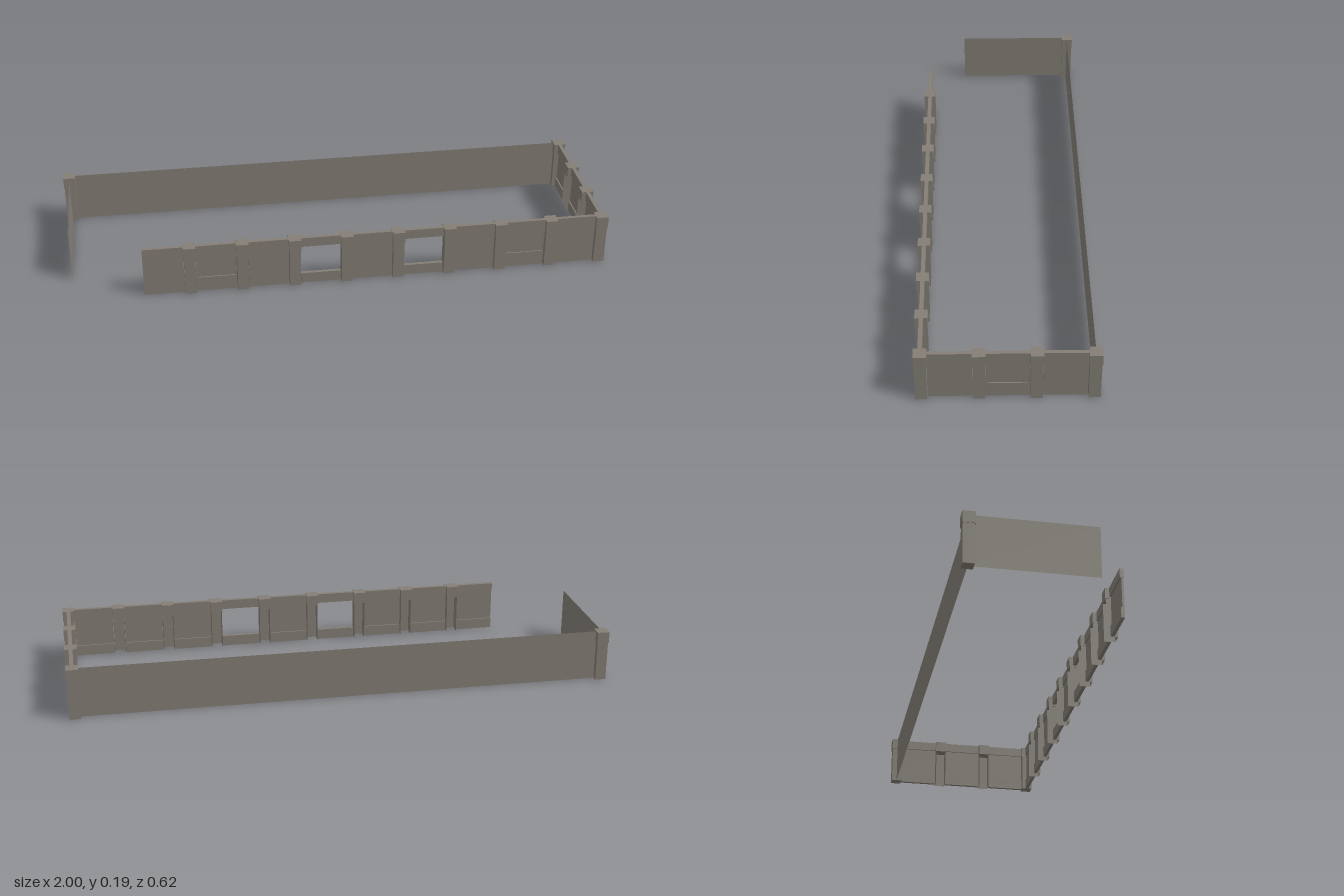
import * as THREE from 'three';

const stone = new THREE.MeshStandardMaterial({ color: 0x847e75, side: THREE.DoubleSide });
stone.name = 'stone grey';

const H = 0.191;          // wall height
const CAP = 0.0445;       // cap width
const SHAFT = 0.0405;     // shaft width
const CAP_Y = 0.148;      // underside of the caps
const X = 0.978, Z = 0.289; // corner post centres
const STEP = 0.191, SIDE_STEP = Z * 2 / 3;

function box(parent, name, w, h, d, x, y, z) {
  const mesh = new THREE.Mesh(new THREE.BoxGeometry(w, h, d), stone);
  mesh.name = name;
  mesh.position.set(x, y, z);
  parent.add(mesh);
}

function sheet(parent, name, w, h, x, y, z, turn) {
  const mesh = new THREE.Mesh(new THREE.PlaneGeometry(w, h), stone);
  mesh.name = name;
  mesh.position.set(x, y, z);
  mesh.rotation.y = turn;
  parent.add(mesh);
}

// Post with a square cap; wall posts have a hollow shaft open to the inside
function makePost(solid) {
  const post = new THREE.Group();
  post.name = solid ? 'cornerPost' : 'wallPost';
  box(post, 'postCap', CAP, H - CAP_Y, CAP, 0, (H + CAP_Y) / 2, 0);
  if (solid) {
    box(post, 'postShaft', SHAFT, CAP_Y, SHAFT, 0, CAP_Y / 2, 0);
  } else {
    const r = SHAFT / 2;
    sheet(post, 'shaftFront', SHAFT, CAP_Y, 0, CAP_Y / 2, r, 0);
    for (const s of [-1, 1]) sheet(post, 'shaftSide', SHAFT, CAP_Y, s * r, CAP_Y / 2, 0, s * Math.PI / 2);
  }
  return post;
}

// Wall bay between posts: nearly flush outside, rails standing proud inside
function makeBay(w, type) {
  const bay = new THREE.Group();
  bay.name = type + 'Bay';
  const low = 0.04, high = 0.155, mid = (low + high) / 2;
  const depth = 0.008, z = 0.002;
  box(bay, 'topRail', w, H - high, 0.014, 0, (H + high) / 2, 0);
  box(bay, 'bottomRail', w, low, 0.013, 0, low / 2, -0.0005);
  if (type === 'plain') box(bay, 'wallPanel', w, high - low, depth, 0, mid, z);
  if (type === 'recessed') {
    const a = 0.057, b = 0.128, jamb = (w - 0.138) / 2;
    box(bay, 'windowSill', w, a - low, depth, 0, (a + low) / 2, z);
    box(bay, 'windowHead', w, high - b, depth, 0, (high + b) / 2, z);
    for (const s of [-1, 1]) box(bay, 'windowJamb', jamb, b - a, depth, s * (w - jamb) / 2, (a + b) / 2, z);
    box(bay, 'windowPanel', 0.138, b - a, 0.004, 0, (a + b) / 2, 0);
  }
  return bay;
}

export function createModel() {
  const model = new THREE.Group();
  model.name = 'walledEnclosure';
  const place = (part, x, z, turn = 0) => {
    part.position.set(x, 0, z);
    part.rotation.y = turn;
    model.add(part);
  };

  // Corner posts
  for (const [x, z] of [[X, Z], [X, -Z], [-X, -Z]]) place(makePost(true), x, z);

  // Front wall, from the left corner to its open end
  const bays = ['plain', 'recessed', 'plain', 'open', 'plain', 'open', 'plain', 'recessed', 'plain'];
  bays.forEach((type, i) => {
    place(makeBay(STEP - CAP, type), X - (i + 0.5) * STEP, Z);
    if (i < 8) place(makePost(false), X - (i + 1) * STEP, Z);
  });

  // Side wall
  ['plain', 'recessed', 'plain'].forEach((type, i) => {
    place(makeBay(SIDE_STEP - CAP, type), X, Z - (i + 0.5) * SIDE_STEP, Math.PI / 2);
    if (i < 2) place(makePost(false), X, Z - (i + 1) * SIDE_STEP, Math.PI / 2);
  });

  // Bare sheet walls at the back and the far side
  sheet(model, 'backWall', 2 * X, H - 0.002, 0, (H - 0.002) / 2, -Z, Math.PI);
  sheet(model, 'farSideWall', 0.44, H - 0.002, -X, (H - 0.002) / 2, -Z + 0.22, -Math.PI / 2);
  return model;
}
